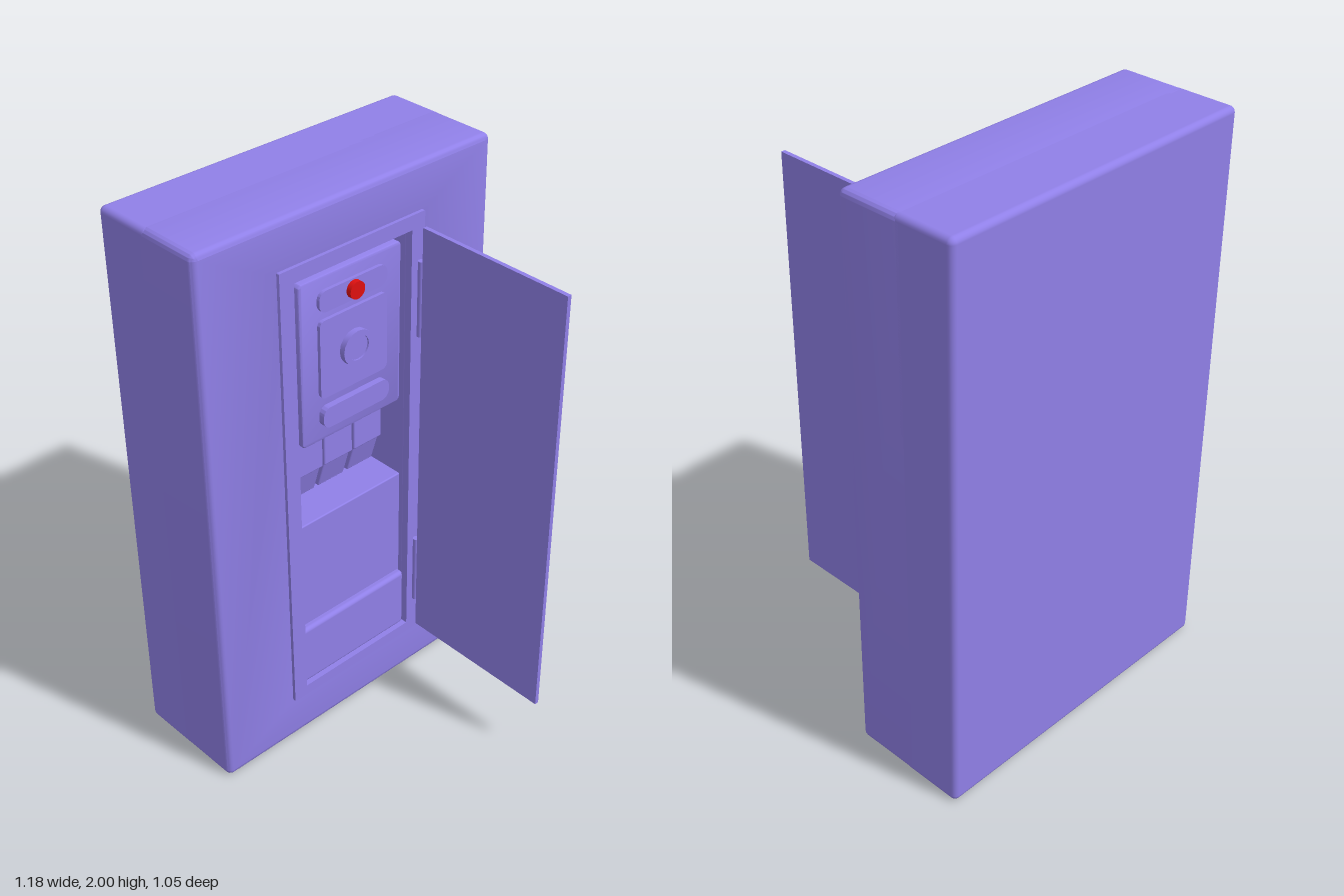
import * as THREE from 'three';
import { RoundedBoxGeometry } from 'three/addons/geometries/RoundedBoxGeometry.js';
import { toCreasedNormals } from 'three/addons/utils/BufferGeometryUtils.js';

const purple = new THREE.MeshStandardMaterial({ color: 0x9080e8 });
const red = new THREE.MeshStandardMaterial({ color: 0xe01010 });

// Rounded rectangle outline between two corners
function roundRect(x0, y0, x1, y1, r, Type = THREE.Shape) {
  const s = new Type();
  s.moveTo(x0 + r, y0);
  s.lineTo(x1 - r, y0);
  s.absarc(x1 - r, y0 + r, r, -Math.PI / 2, 0);
  s.lineTo(x1, y1 - r);
  s.absarc(x1 - r, y1 - r, r, 0, Math.PI / 2);
  s.lineTo(x0 + r, y1);
  s.absarc(x0 + r, y1 - r, r, Math.PI / 2, Math.PI);
  s.lineTo(x0, y0 + r);
  s.absarc(x0 + r, y0 + r, r, Math.PI, Math.PI * 1.5);
  return s;
}

function rectHole(x0, y0, x1, y1) {
  return new THREE.Path([[x0, y0], [x0, y1], [x1, y1], [x1, y0]].map(p => new THREE.Vector2(...p)));
}

export function createModel() {
  const model = new THREE.Group();

  function add(name, geometry, material = purple) {
    const mesh = new THREE.Mesh(geometry, material);
    mesh.name = name;
    model.add(mesh);
    return mesh;
  }

  // Extrusion between two depths, with an optional inset bevel
  function slab(name, shape, z0, z1, bevel = 0) {
    const geo = new THREE.ExtrudeGeometry(shape, {
      depth: z1 - z0 - 2 * bevel, bevelEnabled: bevel > 0, bevelSize: bevel,
      bevelThickness: bevel, bevelOffset: -bevel, bevelSegments: 4, curveSegments: 8,
    });
    geo.translate(0, 0, z0 + bevel);
    return add(name, toCreasedNormals(geo, 0.6));
  }

  function block(name, x0, x1, y0, y1, z0, z1, r = 0) {
    const size = [x1 - x0, y1 - y0, z1 - z0];
    const geo = r ? new RoundedBoxGeometry(...size, 3, r) : new THREE.BoxGeometry(...size);
    const mesh = add(name, geo);
    mesh.position.set((x0 + x1) / 2, (y0 + y1) / 2, (z0 + z1) / 2);
    return mesh;
  }

  // Disc facing the front
  function disc(name, y, r, z0, z1, material) {
    const mesh = add(name, new THREE.CylinderGeometry(r, r, z1 - z0, 32), material);
    mesh.rotation.x = Math.PI / 2;
    mesh.position.set(0, y, (z0 + z1) / 2);
  }

  // Wall: solid back half and a front half with the niche opening
  block('wallBack', -0.59, 0.59, 0, 2, -0.525, -0.3, 0.02);
  const wall = roundRect(-0.59, 0, 0.59, 2, 0.022);
  wall.holes.push(rectHole(-0.24, 0.21, 0.24, 1.79));
  slab('wallFront', wall, -0.35, -0.095, 0.02);

  // Flat frame around the niche
  const frame = roundRect(-0.295, 0.17, 0.295, 1.84, 0.003);
  frame.holes.push(rectHole(-0.24, 0.21, 0.24, 1.79));
  slab('nicheFrame', frame, -0.11, -0.083);

  // Control panel with raised plates, dial and lamp
  slab('controlPanel', roundRect(-0.21, 1.18, 0.21, 1.76, 0.015), -0.31, -0.1, 0.006);
  slab('lampPlate', roundRect(-0.14, 1.642, 0.14, 1.715, 0.03), -0.11, -0.088);
  slab('dialPlate', roundRect(-0.14, 1.34, 0.14, 1.615, 0.02), -0.11, -0.088);
  slab('lowerPlate', roundRect(-0.14, 1.233, 0.14, 1.307, 0.03), -0.11, -0.078);
  const ring = new THREE.Shape().absarc(0, 1.48, 0.061, 0, Math.PI * 2);
  ring.holes.push(new THREE.Path().absarc(0, 1.48, 0.043, 0, Math.PI * 2, true));
  slab('dialRing', ring, -0.095, -0.068);
  disc('dialCentre', 1.48, 0.043, -0.095, -0.074);
  disc('lamp', 1.68, 0.03, -0.095, -0.07, red);

  // Three outlets with narrower slanted ends below the panel
  for (const x of [-0.128, 0.002, 0.133]) {
    block('outlet', x - 0.062, x + 0.062, 1.01, 1.185, -0.31, -0.17, 0.006);
    const tip = block('outletTip', x - 0.058, x + 0.058, 0.905, 1.015, -0.31, -0.18, 0.006);
    const p = tip.geometry.attributes.position;
    for (let i = 0; i < p.count; i++) {
      if (p.getZ(i) > 0 && p.getY(i) < 0) p.setZ(i, p.getZ(i) - 0.03);
    }
    tip.geometry.computeVertexNormals();
  }

  // Storage blocks in the bottom of the niche
  block('upperStorage', -0.24, 0.24, 0.4, 0.857, -0.31, -0.125, 0.005);
  block('lowerStorage', -0.24, 0.24, 0.205, 0.44, -0.31, -0.1, 0.015);

  // Open door and its two hinges
  block('door', 0.262, 0.277, 0.21, 1.8, -0.058, 0.523);
  for (const y of [0.455, 1.545]) {
    const pin = add('hinge', new THREE.CylinderGeometry(0.011, 0.011, 0.27, 20));
    pin.position.set(0.269, y, -0.07);
  }

  return model;
}
